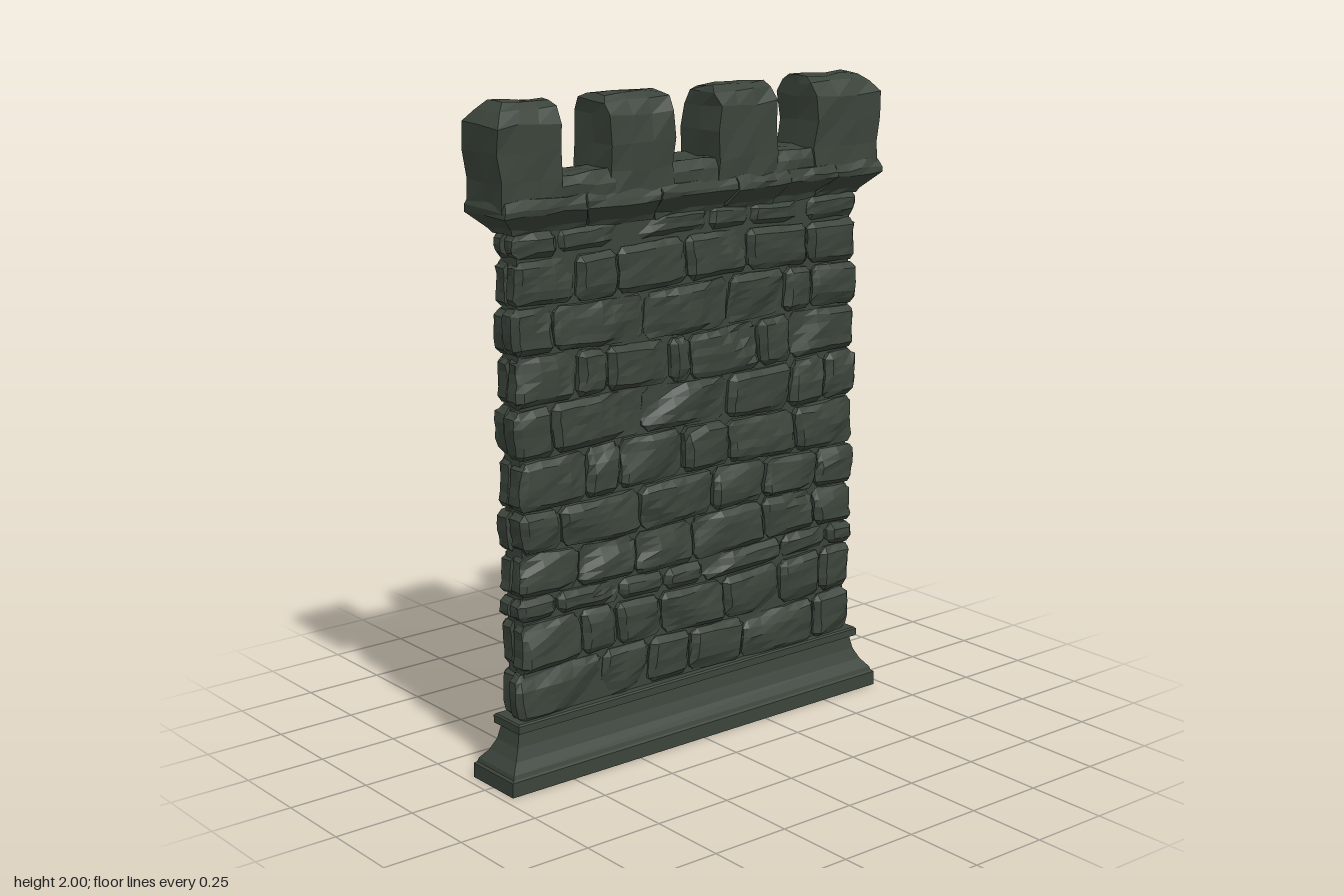
import * as THREE from 'three';

const stoneMat = new THREE.MeshStandardMaterial({ color: 0x3b443b });
stoneMat.name = 'dark grey green stone';

// repeatable noise in -1..1 from a position and a seed
function noise(x, y, z, seed) {
  const s = Math.sin(x * 127.1 + y * 311.7 + z * 74.7 + seed * 53.3) * 43758.5453;
  return (s - Math.floor(s)) * 2 - 1;
}

// moves every vertex of a subdivided 2x2x2 box by a rule, then facets it
function shapeBox(nx, ny, nz, rule) {
  const geo = new THREE.BoxGeometry(2, 2, 2, nx, ny, nz);
  const pos = geo.attributes.position;
  const r = (v) => Math.round(v * 1000) / 1000 + 0;
  for (let i = 0; i < pos.count; i++) {
    pos.setXYZ(i, ...rule(r(pos.getX(i)), r(pos.getY(i)), r(pos.getZ(i))));
  }
  const flat = geo.toNonIndexed();
  flat.computeVertexNormals();
  return flat;
}

function addMesh(parent, name, geo) {
  const mesh = new THREE.Mesh(geo, stoneMat);
  mesh.name = name;
  parent.add(mesh);
  return mesh;
}

// stacked rectangles, rows of [y, left x, right x, half depth]
function loft(rows, nx, nz, rough, seed) {
  const n = rows.length - 1;
  return shapeBox(nx, n, nz, (u, v, w) => {
    const [y, x0, x1, hz] = rows[Math.round((v + 1) / 2 * n)];
    const j = (k) => rough * noise(u, v, w, seed + k);
    return [x0 + (x1 - x0) * (u + 1) / 2 + j(1), Math.min(y + j(2), 2), hz * w + j(3)];
  });
}

// one hewn facing stone, bevelled toward the front and chipped by random planes
function facingStone(x0, x1, y0, y1, depth, seed) {
  const hx = (x1 - x0) / 2, hy = (y1 - y0) / 2, cx = (x0 + x1) / 2, cy = (y0 + y1) / 2;
  const bevel = 0.018;
  const nx = Math.max(4, Math.round(hx / 0.02)), ny = hy > 0.05 ? 6 : 4;
  // keeps the outermost grid line one bevel away from the rim
  const grid = (t, n, h) => {
    const inner = 1 - 2 / n;
    return Math.abs(t) > inner + 0.01 ? Math.sign(t) * h : t / inner * (h - bevel);
  };
  const chips = [0, 1, 2, 3].map((k) => ({
    a: noise(k, 1, 0, seed) * (k < 2 ? 0.1 : 0.45),
    b: noise(k, 2, 0, seed) * (k < 2 ? 0.15 : 0.55),
    d: depth + 0.003 + (k < 2 ? 0 : 0.012) + noise(k, 3, 0, seed) * 0.004,
  }));
  return shapeBox(nx, ny, 2, (u, v, w) => {
    let x = grid(u, nx, hx), y = grid(v, ny, hy);
    let z = 0.006 + (depth - 0.006) * (w + 1) / 2;
    const ex = Math.abs(u) > 0.99, ey = Math.abs(v) > 0.99;
    if (w > 0.99 && (ex || ey)) z -= bevel;
    if (ex && ey) { x -= Math.sign(u) * 0.01; y -= Math.sign(v) * 0.01; }
    if (w > 0.99) for (const c of chips) z = Math.min(z, Math.max(c.d + c.a * x + c.b * y, depth - 0.026));
    x += cx + 0.0025 * noise(u, v, w, seed + 1);
    y += cy + 0.0025 * noise(u, v, w, seed + 2);
    z += 0.0025 * noise(u, v, w, seed + 3);
    // courses wander a little along the wall
    y += 0.007 * Math.sin(6 * x + 9 * y);
    x += 0.006 * Math.sin(23 * y + 3 * x);
    return [x, y, z];
  });
}

// courses of [bottom y, top y, depth, joint positions]
const courses = [
  [0.195, 0.345, 0.062, [-0.66, -0.35, -0.175, -0.016, 0.195, 0.49, 0.645]],
  [0.345, 0.49, 0.066, [-0.65, -0.43, -0.30, -0.13, 0.12, 0.35, 0.52, 0.65]],
  [0.49, 0.565, 0.064, [-0.65, -0.51, -0.28, -0.11, 0.04, 0.35, 0.54, 0.65]],
  [0.565, 0.70, 0.067, [-0.65, -0.44, -0.23, -0.01, 0.275, 0.49, 0.65]],
  [0.70, 0.835, 0.073, [-0.65, -0.50, -0.21, 0.07, 0.275, 0.49, 0.65]],
  [0.835, 0.985, 0.073, [-0.65, -0.41, -0.285, -0.05, 0.13, 0.40, 0.65]],
  [0.985, 1.13, 0.067, [-0.66, -0.52, -0.195, 0.13, 0.38, 0.52, 0.65]],
  [1.13, 1.275, 0.068, [-0.65, -0.44, -0.33, -0.10, -0.02, 0.25, 0.38, 0.65]],
  [1.275, 1.42, 0.066, [-0.66, -0.51, -0.185, 0.13, 0.35, 0.46, 0.65]],
  [1.42, 1.56, 0.064, [-0.65, -0.44, -0.285, -0.03, 0.205, 0.45, 0.65]],
  [1.56, 1.64, 0.055, [-0.65, -0.49, -0.22, 0.06, 0.22, 0.445, 0.65]],
];

function wallFace(name) {
  const face = new THREE.Group();
  face.name = name;
  const gap = 0.004;
  courses.forEach(([y0, y1, depth, xs], row) => {
    for (let i = 0; i < xs.length - 1; i++) {
      const seed = row * 10 + i + 1;
      const d = depth + 0.004 * noise(row, i, 0, 5);
      addMesh(face, 'facingStone', facingStone(xs[i] + gap, xs[i + 1] - gap, y0 + gap, y1 - gap, d, seed));
    }
  });
  return face;
}

export function createModel() {
  const model = new THREE.Group();
  model.name = 'battlementWall';

  // moulded plinth and its ledge
  const plinth = [
    [0, 0.72, 0.10], [0.045, 0.72, 0.10], [0.05, 0.712, 0.094], [0.062, 0.708, 0.09],
    [0.09, 0.685, 0.068], [0.125, 0.667, 0.053], [0.168, 0.657, 0.045],
    [0.172, 0.67, 0.064], [0.195, 0.67, 0.064], [0.2, 0.665, 0.06],
  ].map(([y, hx, hz]) => [y, -hx, hx, hz]);
  addMesh(model, 'plinth', loft(plinth, 1, 1, 0, 0));

  // mortar core, then the same facing on both sides, turned half round
  const core = addMesh(model, 'mortarCore', new THREE.BoxGeometry(1.26, 1.5, 0.076));
  core.position.y = 0.92;
  model.add(wallFace('frontFacing'));
  const back = wallFace('backFacing');
  back.rotation.y = Math.PI;
  model.add(back);

  // flared cornice in separate blocks
  const flare = [[1.625, 0.65, 0.042], [1.642, 0.655, 0.05], [1.688, 0.708, 0.098],
    [1.705, 0.708, 0.098], [1.73, 0.70, 0.088]];
  const joints = [-1, -0.6, -0.23, 0.18, 0.47, 0.74, 1];
  for (let i = 0; i < joints.length - 1; i++) {
    const a = joints[i] + (i ? 0.003 : 0), b = joints[i + 1] - (i < 5 ? 0.003 : 0);
    const rows = flare.map(([y, hx, hz]) => [y, hx * a, hx * b, hz]);
    addMesh(model, 'corniceBlock', loft(rows, 4, 2, 0.004, 200 + i));
  }

  // low stones between the merlons
  [[-0.52, -0.32], [-0.12, 0.07], [0.27, 0.45]].forEach(([a, b], i) => {
    const rows = [[1.70, a, b, 0.086], [1.755, a, b, 0.086], [1.787, a, b, 0.07]];
    addMesh(model, 'crenelStone', loft(rows, 3, 3, 0.006, 300 + i));
  });

  // merlons with sloping shoulders: left and right x from bottom to top
  const heights = [1.70, 1.78, 1.86, 1.935, 1.975, 1.992];
  const depths = [0.087, 0.087, 0.088, 0.087, 0.062, 0.038];
  const merlons = [
    [[-0.705, -0.71, -0.715, -0.717, -0.69, -0.665], [-0.505, -0.505, -0.505, -0.505, -0.505, -0.508]],
    [[-0.335, -0.335, -0.335, -0.333, -0.333, -0.325], [-0.11, -0.11, -0.108, -0.108, -0.11, -0.12]],
    [[0.06, 0.06, 0.06, 0.062, 0.064, 0.075], [0.285, 0.283, 0.28, 0.28, 0.28, 0.278]],
    [[0.44, 0.44, 0.442, 0.442, 0.442, 0.445], [0.69, 0.695, 0.70, 0.70, 0.68, 0.655]],
  ];
  merlons.forEach(([left, right], i) => {
    const rows = heights.map((y, k) => [y, left[k], right[k], depths[k]]);
    addMesh(model, 'merlon', loft(rows, 3, 2, 0.006, 400 + i));
  });

  return model;
}
